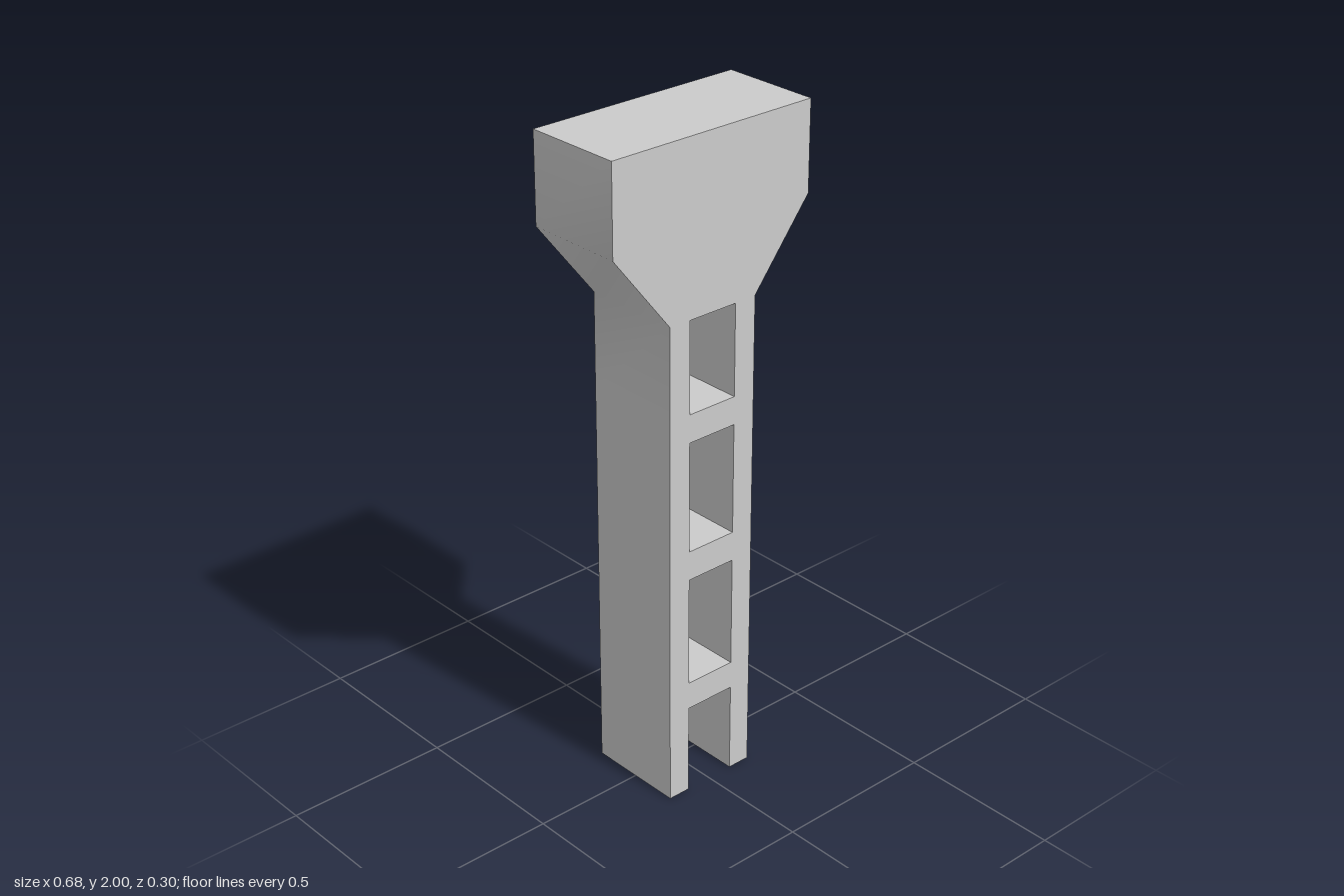
import * as THREE from 'three';
import { toCreasedNormals } from 'three/addons/utils/BufferGeometryUtils.js';

const DEPTH = 0.304;
const INNER = 0.081; // half width of the openings

export function createModel() {
  const group = new THREE.Group();
  group.name = 'pier';

  // Right half of the outline: open foot, leg, flared head
  const half = [
    [INNER, 0.28], [INNER, 0], [0.152, 0], [0.152, 1.21],
    [0.152, 1.495], [0.342, 1.735], [0.342, 2],
  ];
  const mirrored = half.map(([x, y]) => [-x, y]).reverse();
  const shape = new THREE.Shape([...half, ...mirrored].map(([x, y]) => new THREE.Vector2(x, y)));

  // Openings between the rungs
  for (const [y0, y1] of [[0.365, 0.705], [0.795, 1.132], [1.217, 1.493]]) {
    shape.holes.push(new THREE.Path([
      new THREE.Vector2(-INNER, y0), new THREE.Vector2(-INNER, y1),
      new THREE.Vector2(INNER, y1), new THREE.Vector2(INNER, y0),
    ]));
  }

  const extruded = new THREE.ExtrudeGeometry(shape, { depth: DEPTH, bevelEnabled: false });
  extruded.translate(0, 0, -DEPTH / 2);

  // Soft shading along the flared sides, sharp corners elsewhere
  const geometry = toCreasedNormals(extruded, 0.8);
  const body = new THREE.Mesh(geometry, new THREE.MeshStandardMaterial({ color: 0xcccccc }));
  body.name = 'ladderColumnWithFlaredHead';
  group.add(body);
  return group;
}
